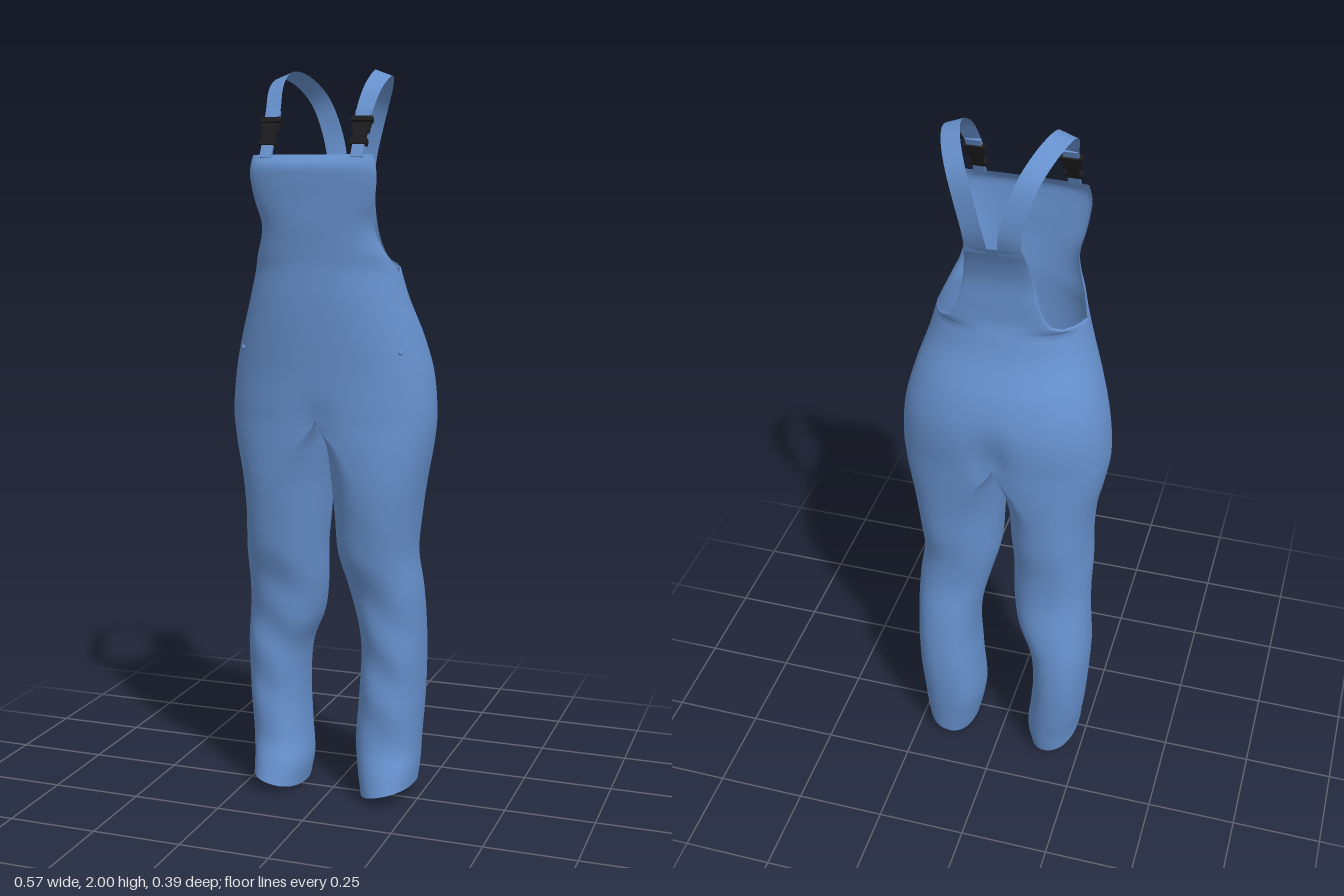
import * as THREE from 'three';
import { mergeGeometries, mergeVertices } from 'three/addons/utils/BufferGeometryUtils.js';

const denim = new THREE.MeshStandardMaterial({ color: 0x6690cc, side: THREE.DoubleSide });
denim.name = 'blue denim';
const black = new THREE.MeshStandardMaterial({ color: 0x1c1c1e });
black.name = 'black plastic';

// Hips and legs: y, left outer x, left inner x, right outer x, right inner x, roundness, front z, back z
const BODY = [
  [0.022, 0.235, 0.090, 0.230, 0.090, 1, 0.105, -0.140],
  [0.08, 0.240, 0.075, 0.235, 0.080, 1, 0.088, -0.150],
  [0.15, 0.240, 0.062, 0.245, 0.090, 1, 0.065, -0.163],
  [0.28, 0.247, 0.068, 0.256, 0.100, 1, 0.060, -0.176],
  [0.40, 0.250, 0.075, 0.262, 0.090, 1, 0.060, -0.175],
  [0.50, 0.250, 0.068, 0.256, 0.050, 1, 0.066, -0.165],
  [0.60, 0.247, 0.045, 0.250, 0.033, 1, 0.080, -0.147],
  [0.70, 0.235, 0.020, 0.250, 0.030, 1, 0.110, -0.147],
  [0.80, 0.243, 0.014, 0.246, 0.022, 1, 0.130, -0.160],
  [0.90, 0.258, 0.008, 0.253, 0.016, 0.85, 0.145, -0.166],
  [1.00, 0.277, 0.004, 0.274, 0.004, 0.45, 0.155, -0.178],
  [1.08, 0.285, 0, 0.285, 0, 0, 0.163, -0.190],
  [1.20, 0.275, 0, 0.275, 0, 0, 0.167, -0.195],
  [1.30, 0.250, 0, 0.250, 0, 0, 0.175, -0.172],
  [1.40, 0.217, 0, 0.217, 0, 0, 0.180, -0.125],
  [1.47, 0.198, 0, 0.198, 0, 0, 0.180, -0.105],
];
// Bib and back panel: y, half width, z at the armhole edge, z at the middle
const BIB = [
  [1.47, 0.198, 0.0375, 0.180], [1.49, 0.190, 0.055, 0.180], [1.52, 0.177, 0.085, 0.182],
  [1.56, 0.160, 0.108, 0.186], [1.60, 0.153, 0.125, 0.190], [1.66, 0.165, 0.148, 0.193],
  [1.72, 0.173, 0.160, 0.197], [1.75, 0.170, 0.163, 0.195], [1.775, 0.163, 0.164, 0.172],
];
const BACK = [
  [1.47, 0.198, 0.0375, -0.105], [1.485, 0.170, -0.050, -0.101], [1.50, 0.135, -0.080, -0.098],
  [1.55, 0.107, -0.088, -0.098], [1.62, 0.092, -0.090, -0.100], [1.68, 0.083, -0.108, -0.118],
  [1.74, 0.074, -0.140, -0.148],
];

// Smooth interpolation of a table row at height y
function rowAt(table, y) {
  let i = 0;
  while (i < table.length - 2 && y >= table[i + 1][0]) i++;
  const a = table[i], b = table[i + 1], h = b[0] - a[0];
  const p = table[i - 1] || a, n = table[i + 2] || b;
  const t = THREE.MathUtils.clamp((y - a[0]) / h, 0, 1), t2 = t * t, t3 = t2 * t;
  return a.map((_, c) => {
    const ma = (b[c] - p[c]) / (b[0] - p[0]) * h, mb = (n[c] - a[c]) / (n[0] - a[0]) * h;
    return (2 * t3 - 3 * t2 + 1) * a[c] + (t3 - 2 * t2 + t) * ma
      + (3 * t2 - 2 * t3) * b[c] + (t3 - t2) * mb;
  });
}

// Grid surface from a function of (u, v), both 0..1
function surface(nu, nv, fn, flip = false) {
  const pos = [], index = [];
  for (let j = 0; j <= nv; j++) for (let i = 0; i <= nu; i++) pos.push(...fn(i / nu, j / nv));
  for (let j = 0; j < nv; j++) for (let i = 0; i < nu; i++) {
    const a = j * (nu + 1) + i, b = a + 1, c = a + nu + 1, d = c + 1;
    index.push(...(flip ? [a, c, b, b, c, d] : [a, b, c, b, d, c]));
  }
  const g = new THREE.BufferGeometry();
  g.setAttribute('position', new THREE.Float32BufferAttribute(pos, 3));
  g.setIndex(index);
  g.computeVertexNormals();
  return g;
}

const soft = (v) => (Math.abs(v) < 1e-9 ? 0 : Math.sign(v) * Math.abs(v) ** (2 / 2.25));
const bump = (v, centre, width) => Math.exp(-(((v - centre) / width) ** 2));

// Point on the hips or a leg; t runs front (0), outside, back (PI), inside
function bodyPoint(side, t, y) {
  const r = rowAt(BODY, y);
  const xo = side > 0 ? r[1] : r[3];
  const xi = y >= 1.08 ? 0 : Math.max(0, side > 0 ? r[2] : r[4]);
  const k = y >= 1.08 ? 0 : THREE.MathUtils.clamp(r[5], 0, 1);
  const xm = xi + k * (xo - xi) / 2, zm = (r[6] + r[7]) / 2;
  const s = soft(Math.sin(t)), c = soft(Math.cos(t));
  const x = xm + (s > 0 ? xo - xm : xm - xi) * s;
  let z = zm + (r[6] - zm) * c;
  // seat cleft and front crotch dip
  z += c < 0 ? -c * 0.028 * bump(x, 0, 0.04) * bump(y, 1.11, 0.09)
    : -c * 0.016 * bump(x, 0, 0.04) * bump(y, 1.07, 0.07);
  // soft cloth folds on the lower legs
  z += 0.004 * Math.sin(y * 34 + x * 30 * side) * bump(y, 0.42, 0.26) * Math.max(0, c);
  // slanted hem
  const hem = Math.max(0, 1 - (y - 0.022) / 0.12);
  return [side * x, y + hem * (0.018 * s + 0.009 * c), z];
}

// Point on the bib or back panel
function panelPoint(table, side, t, y) {
  const [, w, edge, mid] = rowAt(table, y);
  return [side * w * soft(Math.sin(t)), y, edge + (mid - edge) * Math.abs(soft(Math.cos(t)))];
}

function garment() {
  const N = 32, parts = [], lerp = THREE.MathUtils.lerp;
  for (const s of [1, -1]) {
    const f = s < 0;
    parts.push(
      surface(2 * N, 64, (u, v) => bodyPoint(s, u * 2 * Math.PI, lerp(0.022, 1.08, v)), f),
      surface(N, 28, (u, v) => bodyPoint(s, u * Math.PI, lerp(1.08, 1.47, v)), f),
      surface(N / 2, 28, (u, v) => panelPoint(BIB, s, u * Math.PI / 2, lerp(1.47, 1.775, v)), f),
      surface(N / 2, 28, (u, v) => panelPoint(BACK, s, (1 + u) * Math.PI / 2, lerp(1.47, 1.74, v)), f),
    );
  }
  const merged = mergeGeometries(parts);
  merged.deleteAttribute('normal');
  const g = mergeVertices(merged, 1e-4);
  g.computeVertexNormals();
  return g;
}

// Shoulder strap, a ribbon along a curve
function strap(side) {
  const curve = new THREE.CatmullRomCurve3([
    [0.042, 1.72, -0.138], [0.046, 1.78, -0.158], [0.068, 1.87, -0.157], [0.09, 1.93, -0.137],
    [0.115, 1.972, -0.09], [0.133, 1.988, -0.03], [0.138, 1.979, 0.02], [0.134, 1.945, 0.075],
    [0.127, 1.9, 0.108], [0.124, 1.865, 0.127],
  ].map((p) => new THREE.Vector3(...p)));
  return surface(2, 40, (u, v) => {
    const p = curve.getPoint(v), t = curve.getTangent(v);
    const out = new THREE.Vector3(0.07 * Math.sin(v * Math.PI), p.y - 1.8, p.z);
    const across = new THREE.Vector3().crossVectors(t, out).normalize();
    if (across.x < 0) across.negate();
    p.addScaledVector(across, (u - 0.5) * (0.058 - 0.016 * v));
    return [side * p.x, p.y, p.z];
  }, side > 0);
}

// Side-release buckle with its bib loop
function buckle() {
  const g = new THREE.Group();
  const box = (name, w, h, d, y, mat = black, x = 0, z = 0) => {
    const m = new THREE.Mesh(new THREE.BoxGeometry(w, h, d), mat);
    m.position.set(x, y, z);
    m.name = name;
    g.add(m);
  };
  box('upperBar', 0.056, 0.013, 0.018, 0.034);
  box('upperSlot', 0.05, 0.009, 0.012, 0.02);
  box('claspBody', 0.034, 0.046, 0.014, -0.002);
  box('lowerBar', 0.046, 0.015, 0.016, -0.03);
  for (const s of [1, -1]) box('prong', 0.007, 0.026, 0.012, 0.01, black, s * 0.02);
  box('strapFold', 0.04, 0.024, 0.009, 0.05, denim);
  box('bibLoop', 0.032, 0.04, 0.008, -0.052, denim);
  return g;
}

export function createModel() {
  const model = new THREE.Group();
  model.name = 'dungarees';
  const add = (name, geometry, material) => {
    const m = new THREE.Mesh(geometry, material);
    m.name = name;
    model.add(m);
    return m;
  };
  add('trousersAndBib', garment(), denim);
  for (const s of [1, -1]) {
    const label = s > 0 ? 'left' : 'right';
    add(label + 'Strap', strap(s), denim);
    const b = buckle();
    b.name = label + 'Buckle';
    b.position.set(s * 0.124, 1.832, 0.143);
    b.rotation.x = -0.46;
    model.add(b);
    // pocket rivet
    const [x, y, z] = bodyPoint(s, 0.98, 1.265);
    const rivet = add(label + 'Rivet', new THREE.SphereGeometry(0.007, 10, 8), denim);
    rivet.position.set(x, y, z);
  }
  return model;
}
